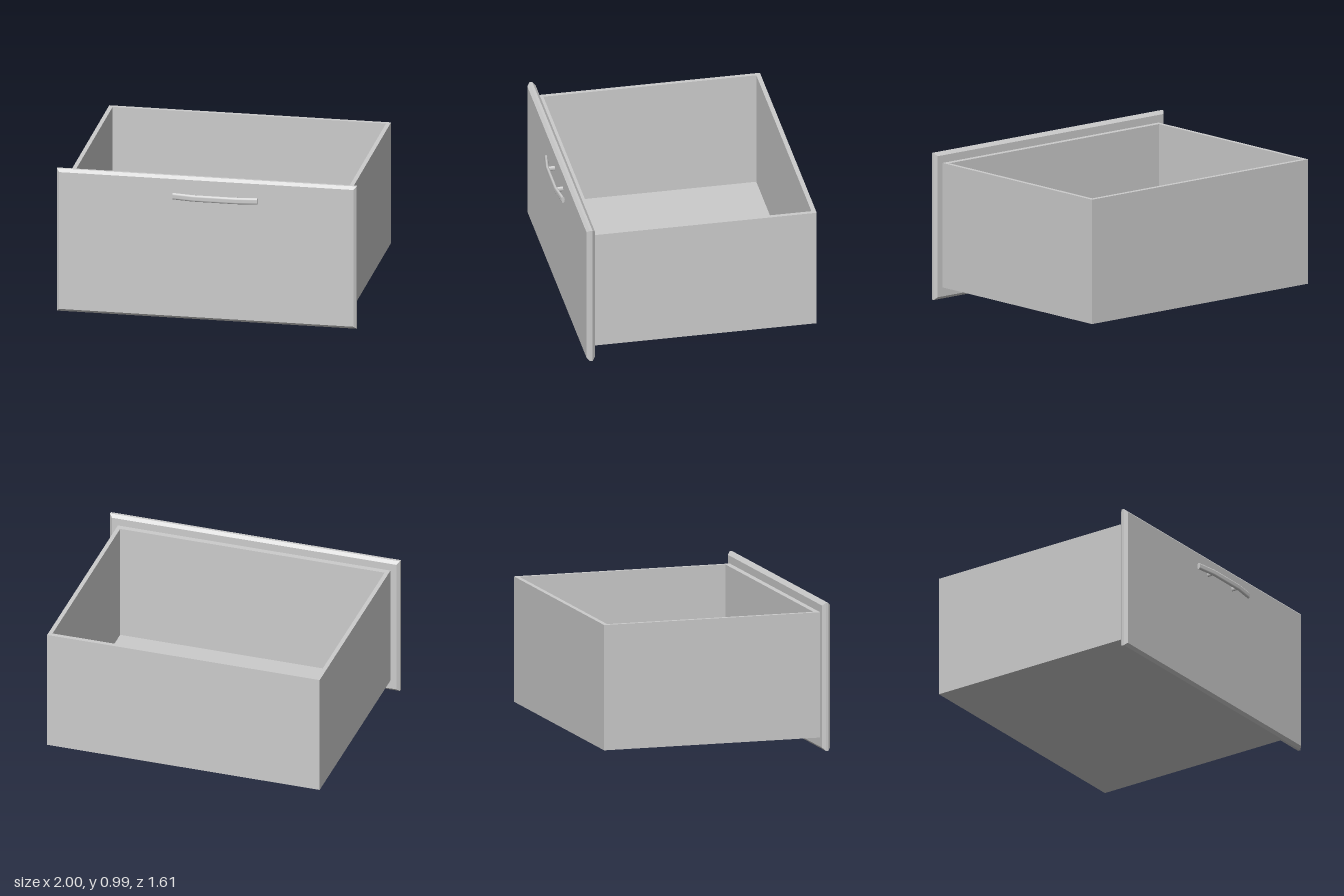
import * as THREE from 'three';
import { toCreasedNormals } from 'three/addons/utils/BufferGeometryUtils.js';

const material = new THREE.MeshStandardMaterial({ color: 0xcccccc });

function part(name, geometry, parent) {
  const mesh = new THREE.Mesh(geometry, material);
  mesh.name = name;
  parent.add(mesh);
  return mesh;
}

// Closed rectangle outline for shapes and holes
function rectangle(Type, x0, y0, x1, y1) {
  return new Type([[x0, y0], [x1, y0], [x1, y1], [x0, y1]].map(([x, y]) => new THREE.Vector2(x, y)));
}

export function createModel() {
  const model = new THREE.Group();
  model.name = 'drawer';

  // Front panel with chamfered edges on both faces
  const bevel = 0.019;
  const panelGeometry = new THREE.ExtrudeGeometry(
    rectangle(THREE.Shape, -1 + bevel, bevel, 1 - bevel, 0.985 - bevel),
    { depth: 0.018, bevelEnabled: true, bevelSize: bevel, bevelThickness: bevel, bevelSegments: 1 });
  panelGeometry.translate(0, 0, 0.685 + bevel);
  part('frontPanel', panelGeometry, model);

  // Four walls as one hollow frame, open at the top
  const bottom = 0.08, top = 0.915;
  const frame = rectangle(THREE.Shape, -0.94, -0.685, 0.94, 0.807);
  frame.holes.push(rectangle(THREE.Path, -0.912, -0.647, 0.912, 0.777));
  const wallGeometry = new THREE.ExtrudeGeometry(frame, { depth: top - bottom, bevelEnabled: false });
  wallGeometry.rotateX(-Math.PI / 2).translate(0, bottom, 0);
  part('walls', wallGeometry, model);

  // Floor set between the walls
  const floor = part('floor', new THREE.BoxGeometry(1.824, 0.03, 1.424), model);
  floor.position.set(0, bottom + 0.015, -0.065);

  // Handle, offset to the side of the panel
  const handle = new THREE.Group();
  handle.name = 'handle';
  handle.position.set(0.064, 0.857, 0);
  model.add(handle);

  // Oval grip: straight in the middle, ends bent back toward the panel
  const stations = [[-0.282, 0.769], [-0.14, 0.789], [0.14, 0.789], [0.282, 0.769]];
  const grip = new THREE.CylinderGeometry(1, 1, 3, 16, 3);
  grip.rotateZ(-Math.PI / 2);
  const p = grip.attributes.position;
  for (let i = 0; i < p.count; i++) {
    const [x, z] = stations[Math.round(p.getX(i) + 1.5)];
    p.setXYZ(i, x, p.getY(i) * 0.0225, z + p.getZ(i) * 0.011);
  }
  part('grip', toCreasedNormals(grip, 0.7), handle);

  // Oval posts joining the grip to the panel
  for (const side of [-1, 1]) {
    const post = new THREE.CylinderGeometry(1, 1, 0.05, 16);
    post.rotateX(Math.PI / 2).scale(0.009, 0.017, 1);
    part(side < 0 ? 'rightPost' : 'leftPost', post, handle).position.set(side * 0.138, 0, 0.76);
  }

  return model;
}
